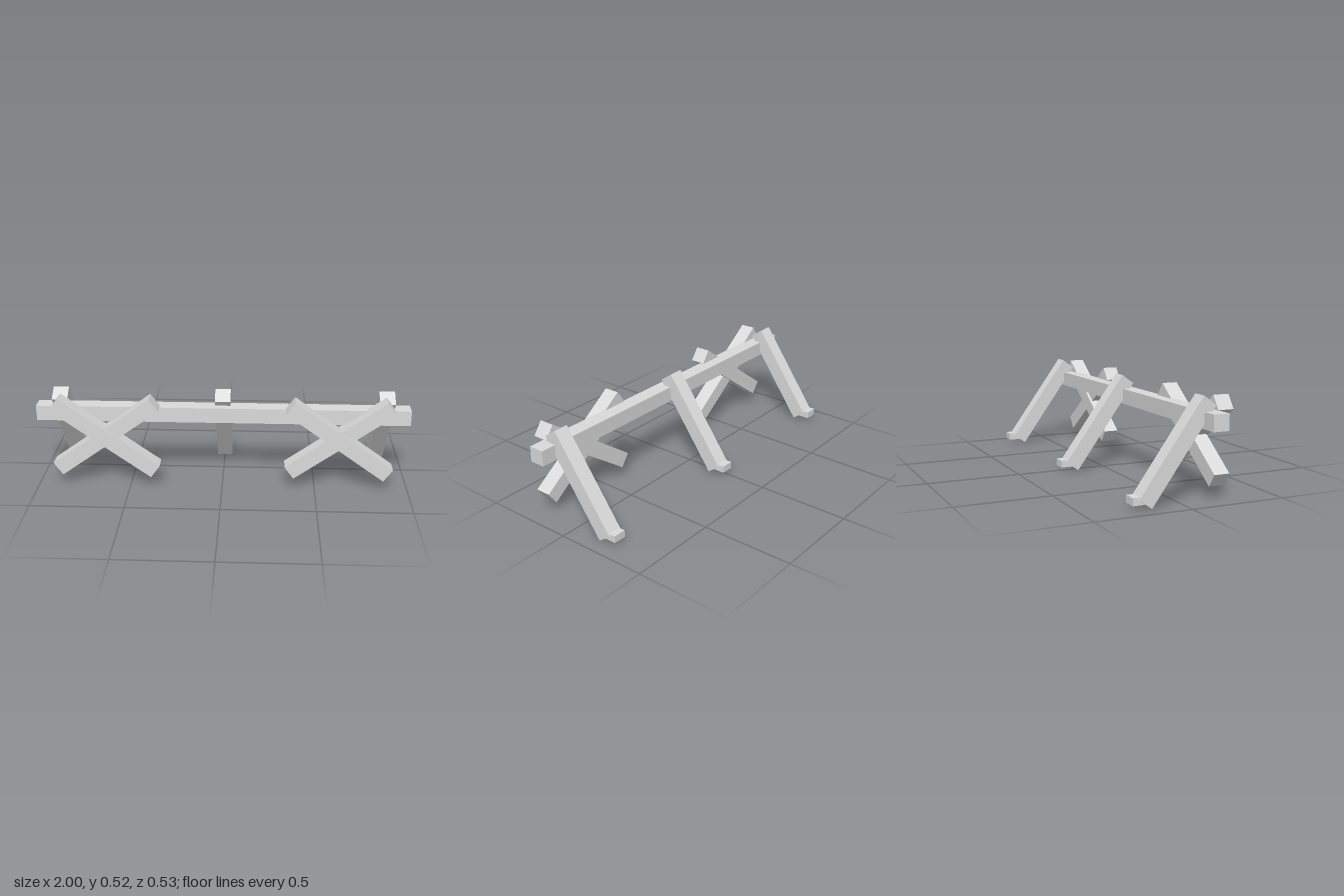
import * as THREE from 'three';

export function createModel() {
  const model = new THREE.Group();
  const grey = new THREE.MeshStandardMaterial({ color: 0xdadada });
  grey.name = 'light grey';

  const beam = (name, size, position, parent = model) => {
    const mesh = new THREE.Mesh(new THREE.BoxGeometry(...size), grey);
    mesh.name = name;
    mesh.position.set(...position);
    parent.add(mesh);
    return mesh;
  };

  // Long horizontal rail
  beam('rail', [2, 0.083, 0.084], [0, 0.396, 0.147]);

  // Leaning rear props, each with a small ground peg
  for (const x of [-0.875, 0, 0.875]) {
    const prop = new THREE.Group();
    prop.name = 'rearProp';
    prop.position.x = x;
    model.add(prop);
    beam('leaningPost', [0.083, 0.575, 0.083], [0, 0.258, -0.0335], prop).rotation.x = 0.624;
    beam('groundPeg', [0.071, 0.038, 0.062], [0, 0.042, -0.234], prop);
  }

  // Crossed stakes in front of the rail; the falling stake sits further forward
  for (const x of [-0.625, 0.625]) {
    const cross = new THREE.Group();
    cross.name = 'crossedStakes';
    cross.position.set(x, 0.284, 0);
    model.add(cross);
    beam('frontStake', [0.652, 0.083, 0.084], [0, 0, 0.223], cross).rotation.z = -0.622;
    beam('backStake', [0.652, 0.083, 0.084], [0, 0, 0.209], cross).rotation.z = 0.622;
  }

  return model;
}
